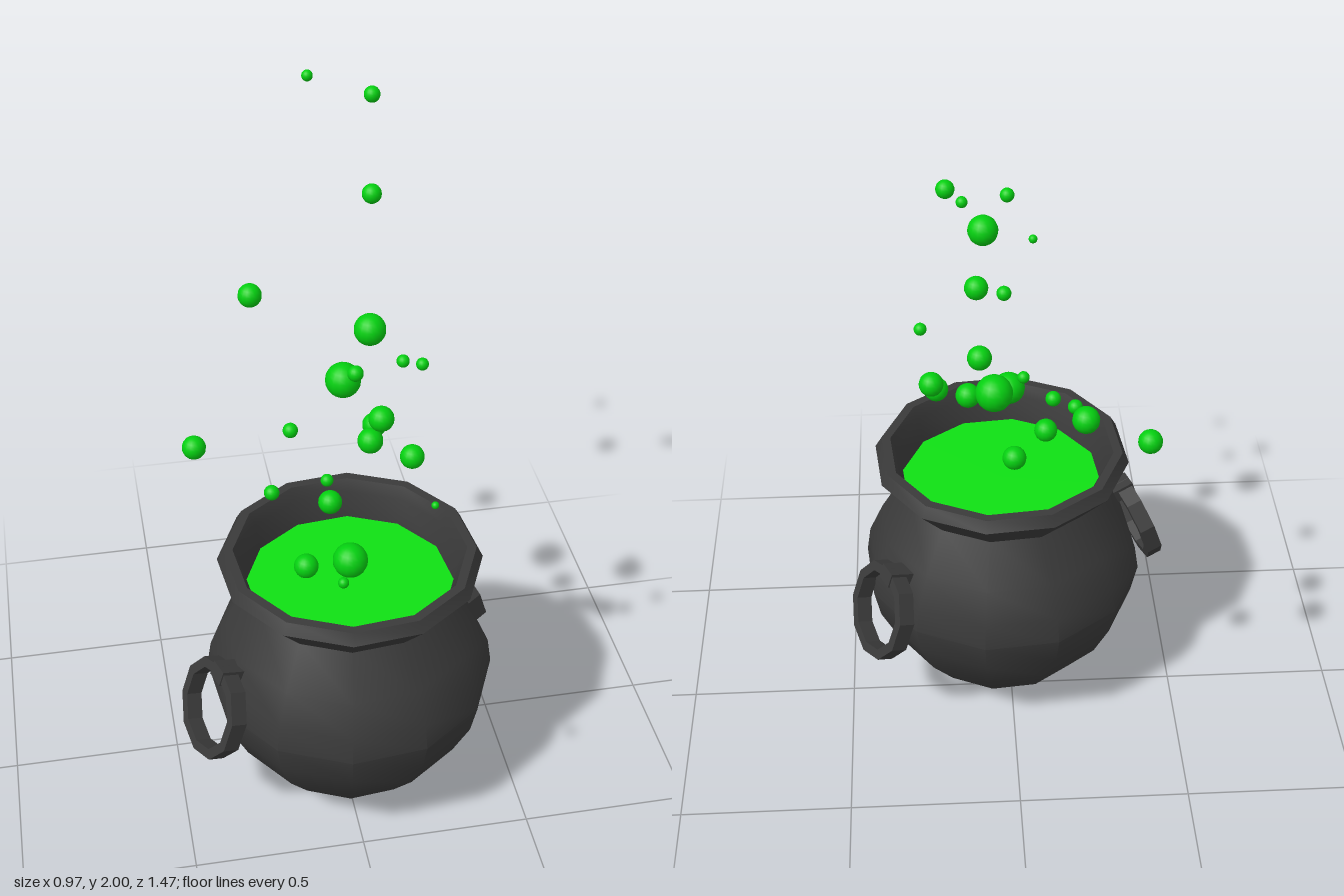
import * as THREE from 'three';
import { toCreasedNormals } from 'three/addons/utils/BufferGeometryUtils.js';

const SIDES = 12;
const TURN = THREE.MathUtils.degToRad(20.7);

const paint = (color) => {
  const m = new THREE.MeshStandardMaterial();
  m.color.set(color);
  return m;
};

const lathe = (points, sides, start, crease) => toCreasedNormals(
  new THREE.LatheGeometry(points.map(([r, y]) => new THREE.Vector2(r, y)), sides, start), crease);

function part(name, geometry, material, parent) {
  const mesh = new THREE.Mesh(geometry, material);
  mesh.name = name;
  parent.add(mesh);
  return mesh;
}

export function createModel() {
  const model = new THREE.Group();
  model.name = 'bubblingCauldron';
  const iron = paint(0x3a3a3a);
  const brew = paint(0x0fe014);
  const foam = paint(0x04d010);

  // Pot, sitting off-centre below the drifting bubbles
  const pot = new THREE.Group();
  pot.name = 'pot';
  pot.position.set(0.022, 0, 0.144);
  model.add(pot);

  // Round belly with a closed base
  part('belly', lathe([
    [0, 0], [0.156, 0], [0.26, 0.085], [0.352, 0.2], [0.405, 0.31],
    [0.424, 0.4], [0.412, 0.48], [0.37, 0.575], [0.29, 0.7],
  ], SIDES, TURN, 0.62), iron, pot);

  // Flared rim, turning over into the inner wall
  part('rim', lathe([
    [0.29, 0.7], [0.381, 0.803], [0.362, 0.836], [0.335, 0.836],
    [0.318, 0.8], [0.298, 0.705],
  ], SIDES, TURN, 0.62), iron, pot);

  // Liquid surface
  const liquid = part('liquid', new THREE.CircleGeometry(0.303, SIDES, TURN), brew, pot);
  liquid.rotation.x = -Math.PI / 2;
  liquid.position.y = 0.718;

  // Ring handles, leaning outward at the bottom, each held by a lug
  const ringGeo = lathe([
    [0.118, -0.024], [0.148, -0.024], [0.148, 0.024], [0.118, 0.024], [0.118, -0.024],
  ], 10, 0, 0.3);
  ringGeo.rotateX(Math.PI / 2);
  const handles = [
    ['leftHandle', [0.39, 0.432, -0.115], 115],
    ['rightHandle', [-0.405, 0.434, 0.3], -72],
  ];
  for (const [name, position, azimuth] of handles) {
    const handle = new THREE.Group();
    handle.name = name;
    handle.position.set(...position);
    handle.rotation.order = 'YXZ';
    handle.rotation.set(THREE.MathUtils.degToRad(-19), THREE.MathUtils.degToRad(azimuth), 0);
    part('ring', ringGeo, iron, handle);
    const lug = part('lug', new THREE.BoxGeometry(0.06, 0.045, 0.1), iron, handle);
    lug.position.set(0, 0.125, -0.022);
    model.add(handle);
  }

  // Rising bubbles: x, y, z, radius
  const bubbles = [
    [0.177, 1.98, -0.382, 0.023], [0.055, 1.896, -0.72, 0.017],
    [-0.007, 1.567, 0.345, 0.021], [0.07, 1.567, 0.147, 0.043],
    [0.123, 1.567, 0.31, 0.017], [0.224, 1.567, -0.59, 0.03],
    [-0.167, 1.345, -0.448, 0.036], [0.088, 1.335, 0.226, 0.035],
    [0.25, 1.345, 0.002, 0.018], [-0.107, 1.207, 0.72, 0.014],
    [0.054, 1.223, -0.14, 0.052], [0.085, 1.177, 0.103, 0.036],
    [0.123, 1.138, -0.025, 0.035], [-0.115, 1.133, -0.047, 0.022],
    [-0.043, 1.083, 0.137, 0.018], [0.211, 1.09, 0.08, 0.035],
    [-0.382, 1.042, -0.14, 0.035], [-0.19, 1.015, 0.077, 0.022],
    [0.25, 1.01, 0.21, 0.011], [-0.009, 0.93, 0.307, 0.049],
    [-0.009, 0.897, -0.002, 0.035], [-0.115, 0.842, 0.205, 0.035],
  ];
  const ball = new THREE.SphereGeometry(1, 16, 12);
  const cluster = new THREE.Group();
  cluster.name = 'bubbles';
  for (const [x, y, z, r] of bubbles) {
    const bubble = part('bubble', ball, foam, cluster);
    bubble.position.set(x, y, z);
    bubble.scale.setScalar(r);
  }
  model.add(cluster);
  return model;
}
